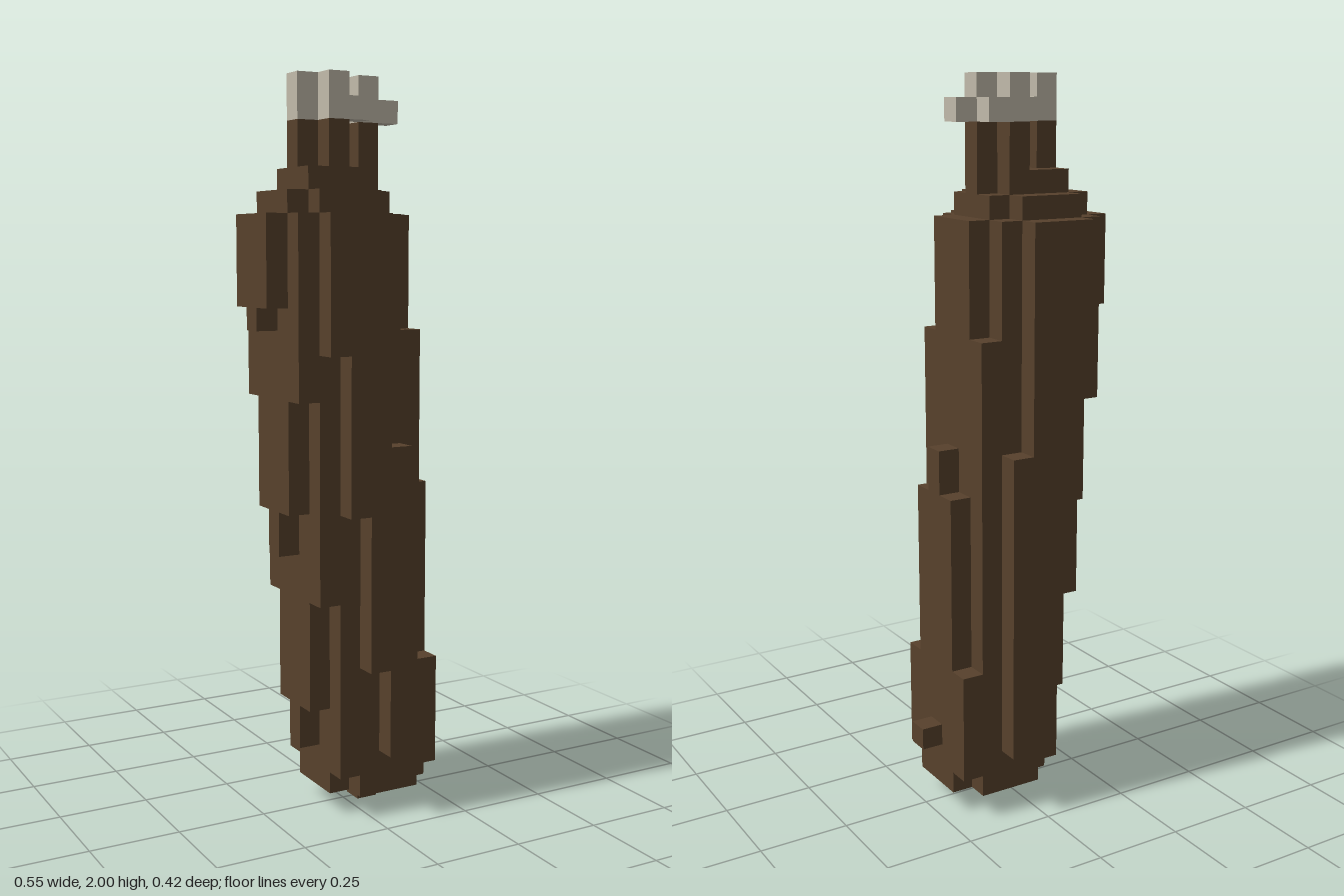
import * as THREE from 'three';
import { mergeGeometries } from 'three/addons/utils/BufferGeometryUtils.js';

const U = 2 / 33; // size of one block

// Box filling column x, depth z (both counted from the centre), from layer y0 up to y1
function column(x, z, y0, y1, w = 1, d = 1) {
  const g = new THREE.BoxGeometry(w * U, (y1 - y0) * U, d * U);
  g.translate(x * U, ((y0 + y1) / 2) * U, z * U);
  return g;
}

// Body slices by distance from the middle plane: [x, bottom layer, top layer]
const SLICES = [
  [[-4, 22, 27], [-3, 12, 28], [-2, 3, 28], [-1, 1, 28], [0, 1, 28], [1, 0, 28], [2, 1, 27], [3, 1, 17], [4, 3, 4]],
  [[-4, 23, 27], [-3, 14, 28], [-2, 5, 28], [-1, 1, 28], [0, 1, 28], [1, 1, 28], [2, 1, 27], [3, 1, 15]],
  [[-3, 19, 27], [-2, 10, 28], [-1, 2, 28], [0, 1, 28], [1, 1, 27], [2, 1, 22], [3, 2, 7]],
  [[-2, 21, 27], [-1, 14, 27], [0, 7, 27], [1, 3, 17]],
];

// Prongs standing on the cap: [x, z]
const PRONGS = [[-2, 0], [-1, 1], [1, 0], [0, -1]];

export function createModel() {
  const brown = new THREE.MeshStandardMaterial({ color: 0x57412c });
  brown.name = 'brown';
  const paleGrey = new THREE.MeshStandardMaterial({ color: 0xc1baaa });
  paleGrey.name = 'paleGrey';

  const model = new THREE.Group();
  model.name = 'model';
  const add = (name, parts, material) => {
    const mesh = new THREE.Mesh(mergeGeometries(parts), material);
    mesh.name = name;
    model.add(mesh);
  };

  // Leaning body, mirrored front to back
  const body = [];
  SLICES.forEach((slice, d) => {
    for (const z of d ? [d, -d] : [0]) {
      for (const [x, y0, y1] of slice) body.push(column(x, z, y0, y1));
    }
  });
  add('body', body, brown);

  // Cap under the prongs
  add('cap', [column(-1, 0, 28, 29, 3, 3)], brown);

  // Brown stalks with pale hooked tips
  for (const [x, z] of PRONGS) {
    const foot = x === 1 ? 28 : 29;
    add('stalk', [column(x, z, foot, 31)], brown);
    add('hookedTip', [column(x, z, 31, 33), column(x + 1, z, 31, 32)], paleGrey);
  }
  return model;
}
